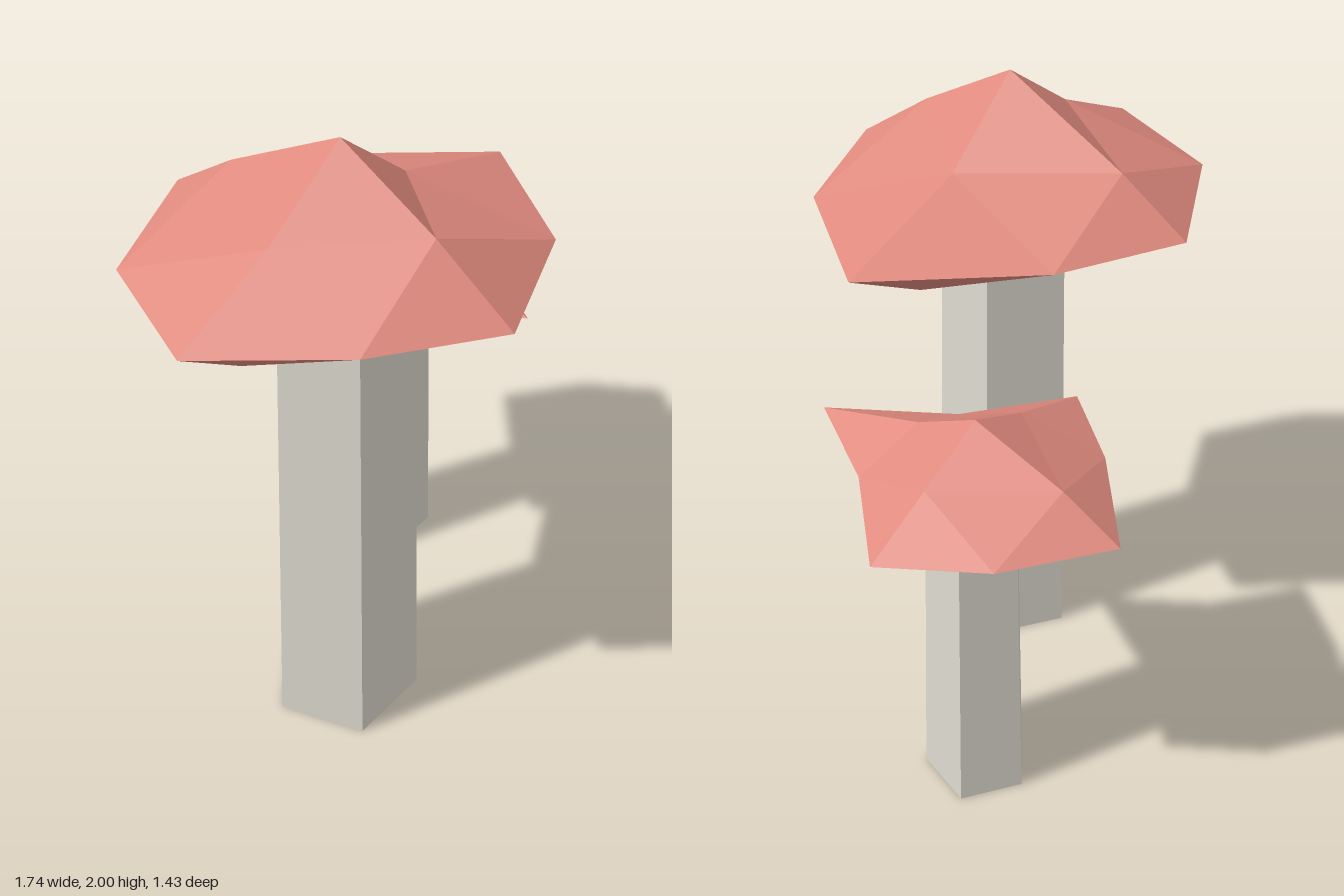
import * as THREE from 'three';

const capMaterial = new THREE.MeshStandardMaterial({ color: 0xe08a7e, flatShading: true });
const stalkMaterial = new THREE.MeshStandardMaterial({ color: 0xdedad0, flatShading: true });

// Cap: an octahedron split once, with uneven rings.
// rim: 8 [x, z] offsets from +x round through +z; upper and lower: 4 [reach, y] for +x, +z, -x, -z.
function capGeometry({ top, bottom, rim, upper, lower }) {
  const axes = [[1, 0], [0, 1], [-1, 0], [0, -1]];
  const rimPoint = i => [rim[i % 8][0], 0, rim[i % 8][1]];
  const ringPoint = (ring, i) => {
    const [reach, y] = ring[i % 4], [ax, az] = axes[i % 4];
    return [ax * reach, y, az * reach];
  };
  const positions = [];
  for (const [ring, poleY, up] of [[upper, top, true], [lower, bottom, false]]) {
    const pole = [0, poleY, 0];
    for (let i = 0; i < 4; i++) {
      const a = rimPoint(2 * i), ab = rimPoint(2 * i + 1), b = rimPoint(2 * i + 2);
      const ma = ringPoint(ring, i), mb = ringPoint(ring, i + 1);
      for (const [p, q, r] of [[a, ma, ab], [ab, mb, b], [ma, mb, ab], [ma, pole, mb]]) {
        positions.push(...p, ...(up ? q : r), ...(up ? r : q));
      }
    }
  }
  const geometry = new THREE.BufferGeometry();
  geometry.setAttribute('position', new THREE.Float32BufferAttribute(positions, 3));
  geometry.computeVertexNormals();
  return geometry;
}

function mushroom(name, { x, z, capY, baseRadius, topRadius, cap }) {
  const group = new THREE.Group();
  group.name = name;
  group.position.set(x, 0, z);

  // Tapered five-sided stalk, flat side to the front, ending inside the cap
  const height = capY - 0.03;
  const stalk = new THREE.Mesh(new THREE.CylinderGeometry(topRadius, baseRadius, height, 5), stalkMaterial);
  stalk.name = 'stalk';
  stalk.rotation.y = Math.PI;
  stalk.position.y = height / 2;

  const capMesh = new THREE.Mesh(capGeometry(cap), capMaterial);
  capMesh.name = 'cap';
  capMesh.position.y = capY;
  group.add(stalk, capMesh);
  return group;
}

export function createModel() {
  const model = new THREE.Group();
  model.name = 'mushrooms';
  model.add(
    mushroom('tallMushroom', {
      x: -0.26, z: 0.155, capY: 1.65, baseRadius: 0.237, topRadius: 0.2,
      cap: {
        top: 0.35, bottom: -0.33,
        rim: [[0.72, 0], [0.425, 0.395], [0, 0.56], [-0.325, 0.335],
          [-0.61, 0], [-0.43, -0.405], [0, -0.61], [0.36, -0.415]],
        upper: [[0.27, 0.135], [0.31, 0.175], [0.28, 0.155], [0.39, 0.145]],
        lower: [[0.425, -0.17], [0.29, -0.163], [0.395, -0.14], [0.285, -0.16]],
      },
    }),
    mushroom('shortMushroom', {
      x: 0.425, z: -0.24, capY: 1.145, baseRadius: 0.168, topRadius: 0.14,
      cap: {
        top: 0.205, bottom: -0.225,
        rim: [[0.445, 0], [0.185, 0.265], [0, 0.56], [-0.21, 0.225],
          [-0.49, 0], [-0.295, -0.23], [0, -0.475], [0.275, -0.27]],
        upper: [[0.22, 0.103], [0.2, 0.108], [0.21, 0.105], [0.29, 0.1]],
        lower: [[0.285, -0.105], [0.19, -0.115], [0.185, -0.105], [0.21, -0.115]],
      },
    }),
  );
  return model;
}
